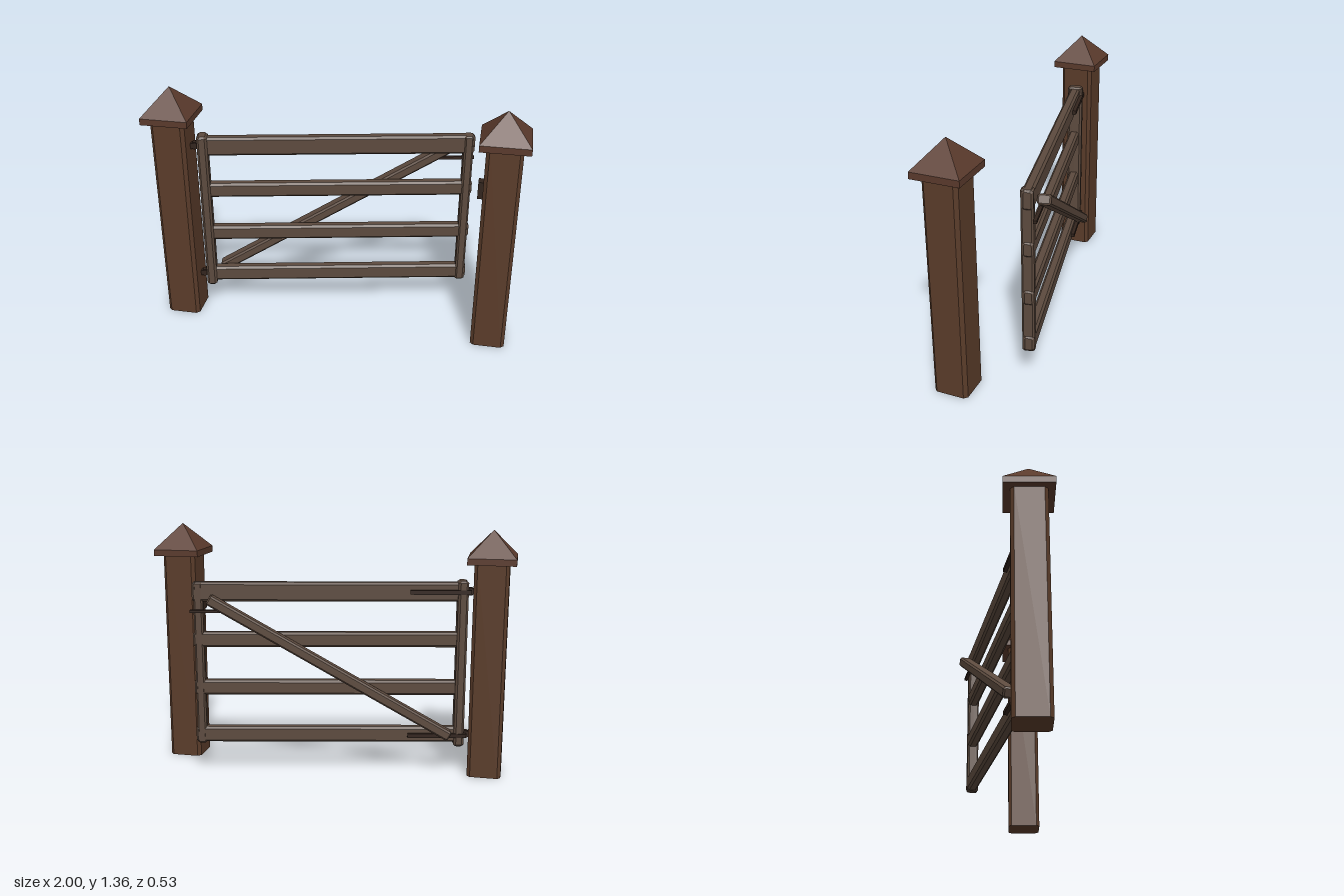
import * as THREE from 'three';

const material = (color) => new THREE.MeshStandardMaterial({ color, flatShading: true });
const postWood = material(0x5a3c2a);
const capWood = material(0x5a3a2c);
const gateWood = material(0x5c4a3e);
const iron = material(0x32241d);

function addMesh(parent, name, geometry, mat, x, y, z) {
  const mesh = new THREE.Mesh(geometry, mat);
  mesh.name = name;
  mesh.position.set(x, y, z);
  parent.add(mesh);
  return mesh;
}

// Timber running along x, with chamfered long edges and ends
function timber(length, height, depth, c) {
  const w = depth / 2 - c, h = height / 2 - c, k = c * 0.6;
  const shape = new THREE.Shape([
    [w, -h + k], [w, h - k], [w - k, h], [-w + k, h],
    [-w, h - k], [-w, -h + k], [-w + k, -h], [w - k, -h],
  ].map(([x, y]) => new THREE.Vector2(x, y)));
  const geometry = new THREE.ExtrudeGeometry(shape, {
    depth: length - 2 * c, bevelThickness: c, bevelSize: c, bevelSegments: 1,
  });
  return geometry.translate(0, 0, c - length / 2).rotateY(Math.PI / 2);
}

const upright = (length, width, depth, c) =>
  timber(length, width, depth, c).rotateZ(Math.PI / 2);

// Square post with chamfered corners, a cap slab and a pyramid on top
function createPost(name, x) {
  const post = new THREE.Group();
  post.name = name;
  post.position.set(x, 0, 0.137);
  const r = 0.0925, c = 0.018;
  const section = new THREE.Shape([
    [r, -r + c], [r, r - c], [r - c, r], [-r + c, r],
    [-r, r - c], [-r, -r + c], [-r + c, -r], [r - c, -r],
  ].map(([a, b]) => new THREE.Vector2(a, b)));
  const shaft = new THREE.ExtrudeGeometry(section, { depth: 1.2, bevelEnabled: false });
  addMesh(post, 'postShaft', shaft.rotateX(-Math.PI / 2), postWood, 0, 0, 0);
  addMesh(post, 'capSlab', new THREE.BoxGeometry(0.256, 0.035, 0.256), capWood, 0, 1.2035, 0);
  const pyramid = new THREE.ConeGeometry(0.128 * Math.SQRT2, 0.14, 4).rotateY(Math.PI / 4);
  addMesh(post, 'capPyramid', pyramid, capWood, 0, 1.291, 0);
  return post;
}

// Gate leaf, built along +x from the hinge stile
function createGate() {
  const gate = new THREE.Group();
  gate.name = 'gate';
  addMesh(gate, 'hingeStile', upright(0.93, 0.056, 0.085, 0.01), gateWood, 0, 0.625, 0);
  addMesh(gate, 'latchStile', upright(0.905, 0.051, 0.064, 0.008), gateWood, 1.427, 0.6275, 0.004);

  // Four rails, their ends passing just through the latch stile
  for (const [y, height] of [[0.225, 0.088], [0.495, 0.083], [0.765, 0.083], [1.028, 0.105]]) {
    addMesh(gate, 'rail', timber(1.46, height, 0.057, 0.01), gateWood, 0.73, y, 0.001);
  }

  // Diagonal brace on the back
  const brace = addMesh(gate, 'brace', timber(1.515, 0.055, 0.069, 0.008), gateWood, 0.7125, 0.615, -0.0625);
  brace.rotation.z = 0.529;

  // Hinge straps with their pins
  for (const y of [0.225, 1.03]) {
    addMesh(gate, 'hingeStrap', new THREE.BoxGeometry(0.325, 0.022, 0.02), iron, 0.1225, y, -0.038);
    addMesh(gate, 'hingeArm', new THREE.BoxGeometry(0.05, 0.03, 0.03), iron, -0.045, y, 0);
    addMesh(gate, 'hingePin', new THREE.CylinderGeometry(0.012, 0.012, 0.042, 8), iron, -0.042, y, 0);
  }

  // Sliding latch bar
  addMesh(gate, 'latchBar', new THREE.BoxGeometry(0.205, 0.016, 0.018), iron, 1.3675, 0.925, -0.038);
  return gate;
}

export function createModel() {
  const model = new THREE.Group();
  model.name = 'fieldGate';
  model.add(createPost('hingePost', -0.872), createPost('latchPost', 0.872));

  // Catch plate on the inner face of the latch post
  addMesh(model, 'latchCatch', new THREE.BoxGeometry(0.03, 0.095, 0.05), iron, 0.768, 0.922, 0.137);

  // Leaf stands slightly open
  const gate = createGate();
  gate.position.set(-0.72, 0, 0.1175);
  gate.rotation.y = 0.208;
  model.add(gate);
  return model;
}
